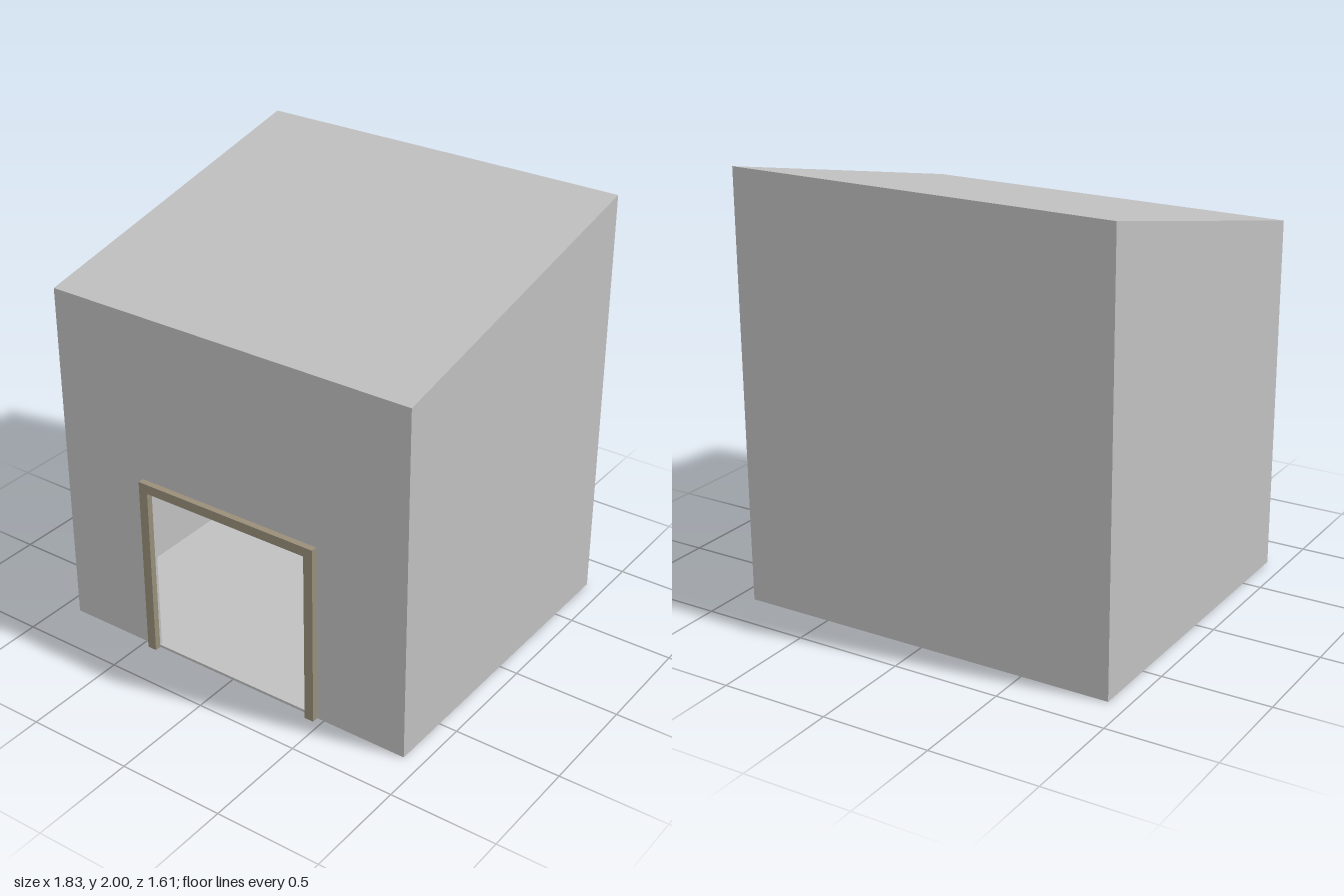
import * as THREE from 'three';

const W = 0.913;               // half width of the shed
const ZF = 0.775, ZB = -0.805; // front and back planes
const HF = 1.665, HB = 2;      // heights at front and back
const T = 0.013;               // wall thickness
const roofY = (z) => HF + (HB - HF) * (ZF - z) / (ZF - ZB);

export function createModel() {
  const group = new THREE.Group();
  const wallGrey = new THREE.MeshStandardMaterial({ color: 0xc0c0c0 });
  wallGrey.name = 'wall grey';
  const frameTan = new THREE.MeshStandardMaterial({ color: 0x988e79 });
  frameTan.name = 'frame tan';

  const add = (name, geometry, material) => {
    const mesh = new THREE.Mesh(geometry, material);
    mesh.name = name;
    group.add(mesh);
  };
  const shapeOf = (pts) => new THREE.Shape(pts.map(([a, b]) => new THREE.Vector2(a, b)));

  // Extrude a (z, y) profile across x, from x0 to x1
  const across = (pts, x0, x1) =>
    new THREE.ExtrudeGeometry(shapeOf(pts), { depth: x1 - x0, bevelEnabled: false })
      .rotateY(-Math.PI / 2).translate(x1, 0, 0);
  // Extrude an (x, y) profile forward, from z0 to z1
  const forward = (pts, z0, z1) =>
    new THREE.ExtrudeGeometry(shapeOf(pts), { depth: z1 - z0, bevelEnabled: false })
      .translate(0, 0, z0);

  // Side walls with sloping tops
  const side = [[ZB, 0], [ZF, 0], [ZF, HF], [ZB, HB]];
  add('leftWall', across(side, W - T, W), wallGrey);
  add('rightWall', across(side, -W, -W + T), wallGrey);

  // Floor, back wall and lean-to roof fit between the sides
  const xi = W - T, zi = ZB + T;
  add('floor', across([[ZB, 0], [ZF, 0], [ZF, T], [ZB, T]], -xi, xi), wallGrey);
  add('backWall', across([[ZB, T], [zi, T], [zi, roofY(zi) - T], [ZB, HB - T]], -xi, xi), wallGrey);
  add('roof', across([[ZB, HB - T], [ZF, HF - T], [ZF, HF], [ZB, HB]], -xi, xi), wallGrey);

  // Front wall with the doorway cut out
  const dw = 0.42, dh = 0.83;
  add('frontWall', forward([
    [-xi, T], [-dw, T], [-dw, dh], [dw, dh], [dw, T], [xi, T], [xi, HF - T], [-xi, HF - T],
  ], ZF - T, ZF), wallGrey);

  // Door frame standing proud of the front wall
  const fw = 0.465, fh = 0.875;
  add('doorFrame', forward([
    [-fw, 0], [-dw, 0], [-dw, dh], [dw, dh], [dw, 0], [fw, 0], [fw, fh], [-fw, fh],
  ], ZF, 0.805), frameTan);

  return group;
}
